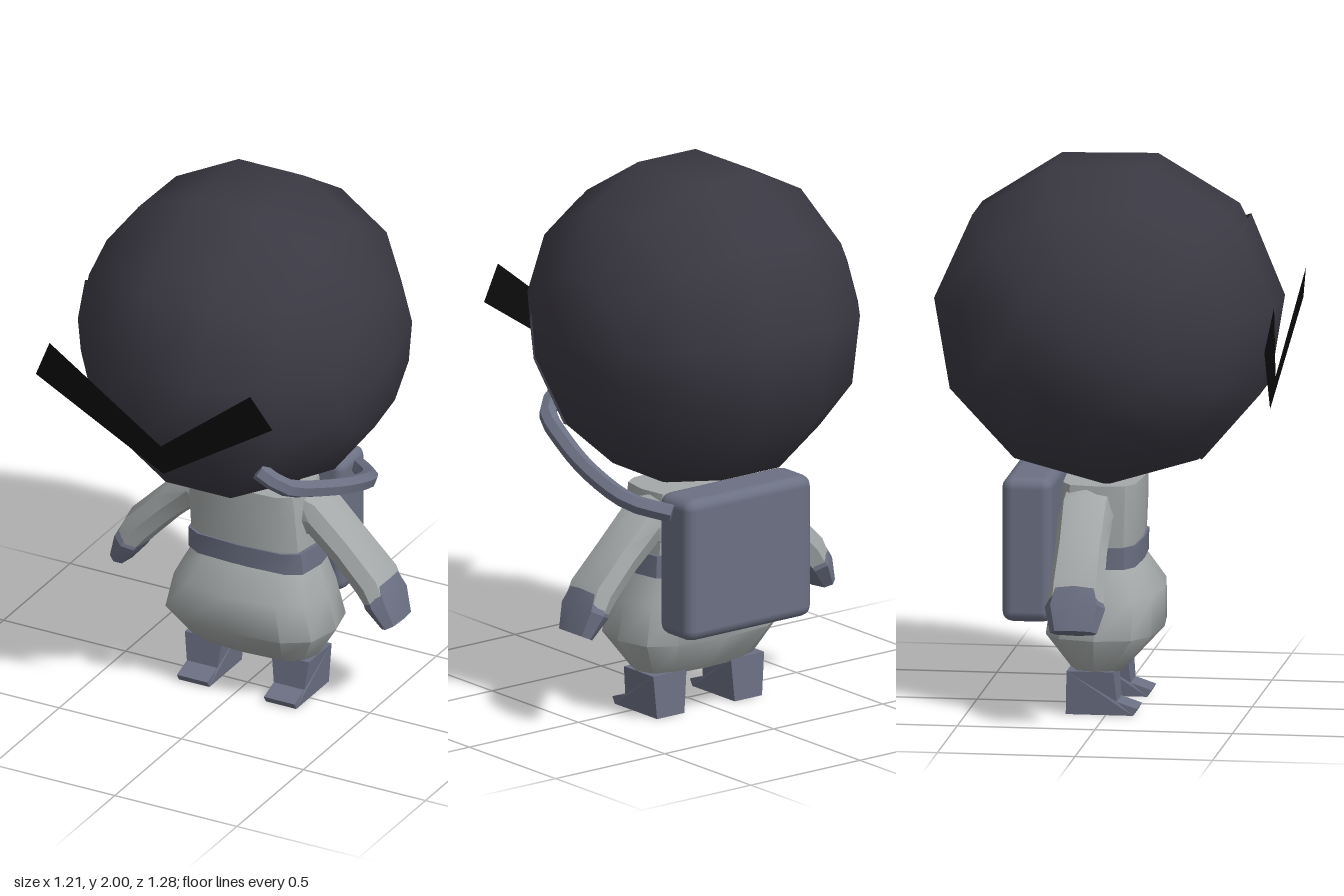
import * as THREE from 'three';
import { toCreasedNormals, mergeVertices } from 'three/addons/utils/BufferGeometryUtils.js';
import { RoundedBoxGeometry } from 'three/addons/geometries/RoundedBoxGeometry.js';

const V = (x, y, z) => new THREE.Vector3(x, y, z);
const mat = (color) => new THREE.MeshStandardMaterial({ color, side: THREE.DoubleSide });
const rad = THREE.MathUtils.degToRad;

// Skin over rings {c, u, v}; u x v points along the sweep. power < 1 squares the section.
function loft(rings, sides = 8, power = 1, crease = 0.6, start = 0) {
  const pos = [], index = [];
  const bend = (n) => Math.sign(n) * Math.pow(Math.abs(n), power);
  for (const { c, u, v } of rings) {
    for (let i = 0; i < sides; i++) {
      const a = start + (i / sides) * Math.PI * 2;
      const p = c.clone().addScaledVector(u, bend(Math.cos(a))).addScaledVector(v, bend(Math.sin(a)));
      pos.push(p.x, p.y, p.z);
    }
  }
  const first = rings[0].c, last = rings[rings.length - 1].c;
  const capA = rings.length * sides, capB = capA + 1, top = (rings.length - 1) * sides;
  pos.push(first.x, first.y, first.z, last.x, last.y, last.z);
  for (let i = 0; i < sides; i++) {
    const j = (i + 1) % sides;
    for (let r = 0; r < top; r += sides) {
      index.push(r + i, r + j, r + sides + j, r + i, r + sides + j, r + sides + i);
    }
    index.push(capA, j, i, capB, top + i, top + j);
  }
  const g = new THREE.BufferGeometry();
  g.setAttribute('position', new THREE.Float32BufferAttribute(pos, 3));
  g.setIndex(index);
  return toCreasedNormals(g, crease);
}

// Horizontal section of the body from its extents
const level = ([y, x0, x1, z0, z1]) => ({
  c: V((x0 + x1) / 2, y, (z0 + z1) / 2),
  u: V(0, 0, (z1 - z0) / 2),
  v: V((x1 - x0) / 2, 0, 0),
});

// Section of an arm between its outer and inner edge
const armRing = (s, [ox, oy, ix, iy, depth]) => ({
  c: V(MID + (s * (ox + ix)) / 2, (oy + iy) / 2, -0.072),
  u: V((s * (ox - ix)) / 2, (oy - iy) / 2, 0),
  v: V(0, 0, s * depth),
});
const MID = 0.013;

export function createModel() {
  const root = new THREE.Group();
  const dark = mat(0x3a3842), black = mat(0x0a0a0a), suit = mat(0xa4a8a8), slate = mat(0x6b7083);
  const add = (name, geometry, material, parent = root) => {
    const m = new THREE.Mesh(geometry, material);
    m.name = name;
    parent.add(m);
    return m;
  };

  // Helmet: coarse sphere with its poles at the ears
  const ball = (k, ...args) =>
    new THREE.SphereGeometry(1, ...args).rotateZ(Math.PI / 2).scale(0.59 * k, 0.61 * k, 0.635 * k).translate(-0.018, 1.425, -0.02);
  add('helmet', ball(1, 11, 7, rad(1.2)), dark);
  add('visor', ball(1.012, 3, 5, rad(35), rad(92), rad(25.7), rad(128.6)), dark);

  // Flat chevron leaning forward in front of the visor
  const chevron = new THREE.ShapeGeometry(new THREE.Shape(
    [[-0.53, 1.405], [-0.035, 1.1], [0.44, 1.42], [0.36, 1.545], [-0.035, 1.22], [-0.46, 1.56]]
      .map(([x, y]) => new THREE.Vector2(x, y))));
  const cp = chevron.attributes.position;
  for (let i = 0; i < cp.count; i++) cp.setZ(i, 0.57 + (cp.getY(i) - 1.1) * 0.165);
  chevron.computeVertexNormals();
  add('visorChevron', chevron, black);

  // Body: trousers, belt and chest
  add('trousers', loft([
    [0.15, -0.235, 0.26, -0.14, 0.055],
    [0.285, -0.315, 0.345, -0.243, 0.18],
    [0.43, -0.275, 0.31, -0.225, 0.18],
    [0.54, -0.217, 0.265, -0.19, 0.1],
  ].map(level), 12, 0.7, 0.9), suit);
  add('belt', loft([
    [0.53, -0.225, 0.278, -0.192, 0.106],
    [0.61, -0.225, 0.27, -0.187, 0.108],
  ].map(level), 12, 0.5), slate);
  add('chest', loft([
    [0.6, -0.215, 0.255, -0.18, 0.1],
    [0.75, -0.22, 0.245, -0.182, 0.108],
    [0.835, -0.215, 0.235, -0.175, 0.108],
  ].map(level), 12, 0.5), suit);

  for (const s of [1, -1]) {
    const side = s > 0 ? 'left' : 'right';

    // Arm and mitten
    add(side + 'Arm', loft([
      [0.2, 0.83, 0.17, 0.62, 0.1],
      [0.265, 0.805, 0.235, 0.65, 0.1],
      [0.4, 0.675, 0.33, 0.565, 0.095],
      [0.525, 0.55, 0.425, 0.465, 0.1],
      [0.558, 0.47, 0.465, 0.42, 0.104],
    ].map((r) => armRing(s, r)), 8, 0.75, 0.7), suit);
    add(side + 'Hand', loft([
      [0.535, 0.53, 0.445, 0.445, 0.09],
      [0.564, 0.47, 0.462, 0.418, 0.11],
      [0.588, 0.375, 0.525, 0.345, 0.085],
    ].map((r) => armRing(s, r)), 8, 0.75, 0.5), slate);

    // Leg with a short pointed toe, widening towards the top
    const profile = new THREE.Shape([
      [-0.145, 0], [0.1, 0], [0.115, 0.025], [0.04, 0.05], [0.03, 0.16], [-0.14, 0.16],
    ].map(([z, y]) => new THREE.Vector2(-z, y)));
    const leg = new THREE.ExtrudeGeometry(profile, { depth: 0.125, bevelEnabled: false });
    leg.translate(0, 0, -0.0625).rotateY(Math.PI / 2);
    const lp = leg.attributes.position;
    for (let i = 0; i < lp.count; i++) {
      lp.setX(i, lp.getX(i) * (1 + Math.max(0, lp.getY(i) - 0.05) * 2));
    }
    leg.rotateY(0).translate(MID + s * 0.178, 0, 0);
    leg.computeVertexNormals();
    add(side + 'Leg', leg, slate);
  }

  // Backpack
  add('backpack', new RoundedBoxGeometry(0.575, 0.53, 0.185, 2, 0.04).translate(0, 0.605, -0.28), slate);

  // Air hose from the backpack round to the helmet
  const path = new THREE.CatmullRomCurve3([
    V(0.265, 1.112, 0.405), V(0.345, 1.055, 0.375), V(0.4, 0.98, 0.2),
    V(0.425, 0.91, 0), V(0.4, 0.85, -0.18), V(0.3, 0.815, -0.29),
  ]);
  const steps = 14, frames = path.computeFrenetFrames(steps);
  const hose = Array.from({ length: steps + 1 }, (_, i) => ({
    c: path.getPointAt(i / steps),
    u: frames.normals[i].clone().multiplyScalar(0.034),
    v: frames.binormals[i].clone().multiplyScalar(0.034),
  }));
  add('airHose', loft(hose, 6, 1, 0.7), slate);

  return root;
}
